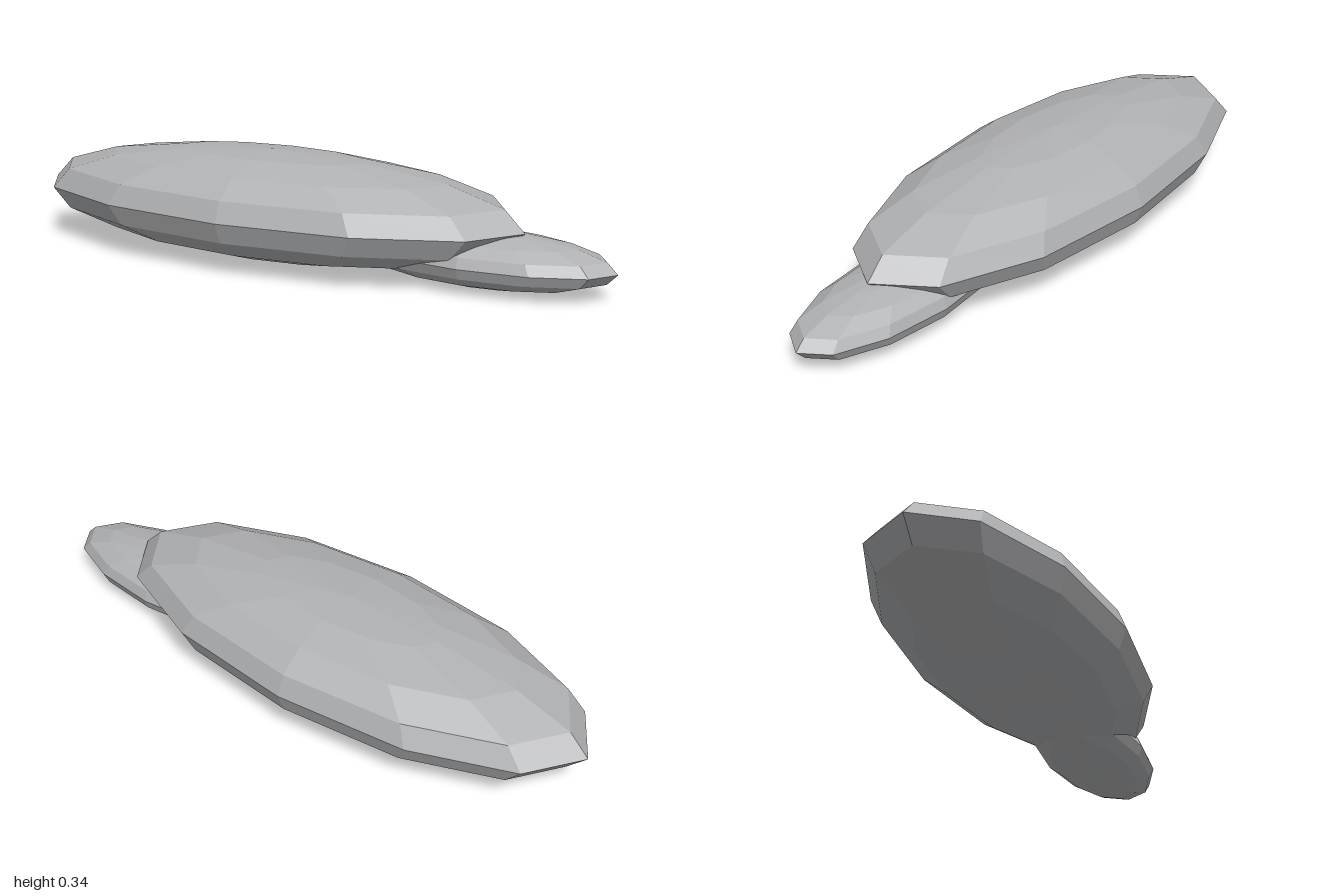
import * as THREE from 'three';

export function createModel() {
  const model = new THREE.Group();
  model.name = 'flatStones';
  const stone = new THREE.MeshStandardMaterial({ color: 0xb0b1b3, flatShading: true });
  stone.name = 'stone grey';

  // Faceted, flattened ellipsoid resting on the ground; rx is its half length
  function addStone(name, x, rx) {
    const geometry = new THREE.SphereGeometry(1, 12, 8);
    geometry.scale(rx, rx * 0.2, rx * 0.4);
    const mesh = new THREE.Mesh(geometry, stone);
    mesh.name = name;
    mesh.position.set(x, rx * 0.2, 0);
    model.add(mesh);
  }

  addStone('largeStone', -0.143, 0.857);
  addStone('smallStone', 0.571, 0.429);
  return model;
}
